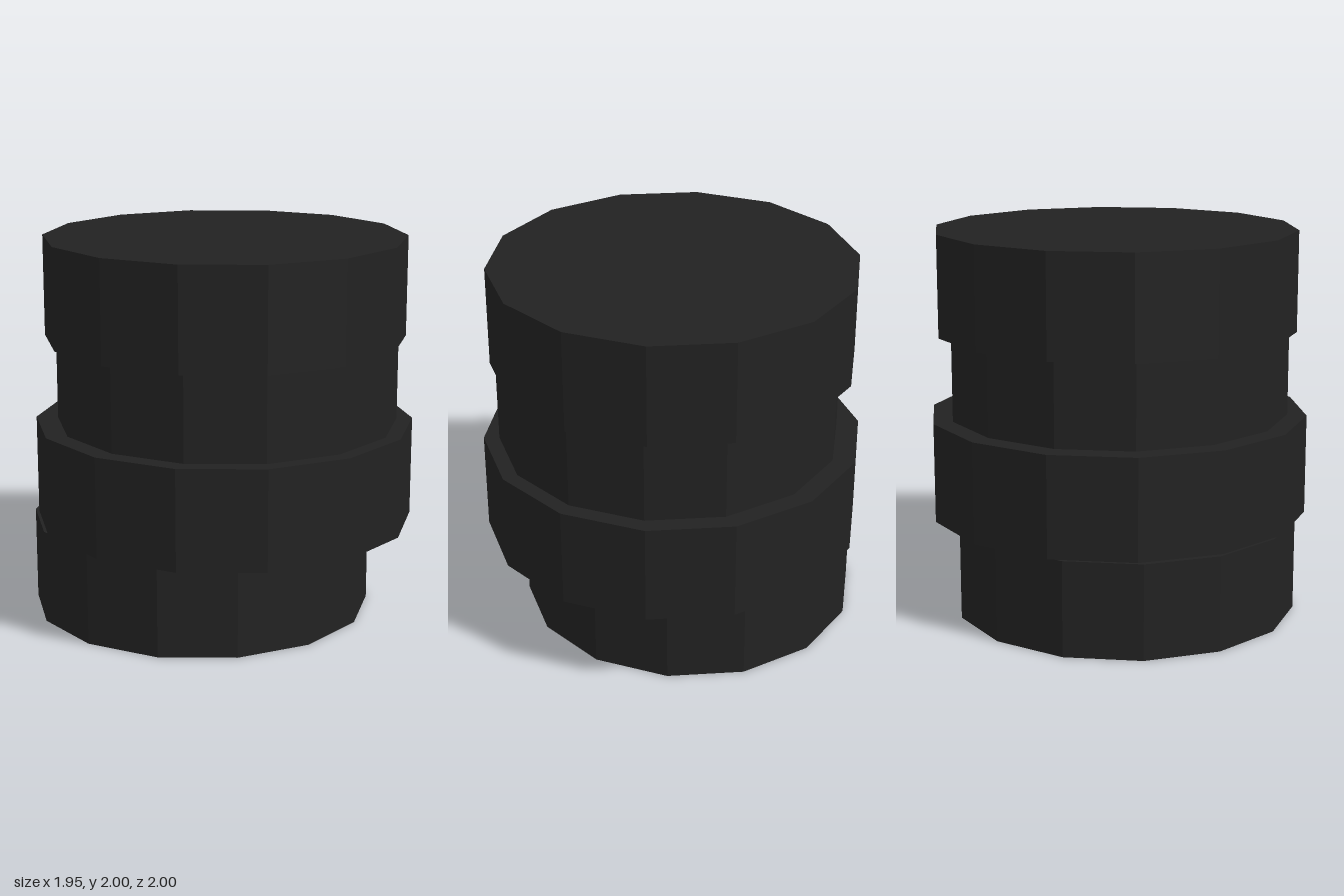
import * as THREE from 'three';

const SIDES = 14;

// Four offset faceted drums stacked on top of each other
const TIERS = [
  { name: 'bottomDrum', radius: 0.9, y0: 0, y1: 0.495, x: -0.077, z: -0.1 },
  { name: 'wideDrum', radius: 1.0, y0: 0.495, y1: 1.02, x: 0, z: 0 },
  { name: 'neckDrum', radius: 0.9, y0: 1.02, y1: 1.465, x: 0.006, z: 0.018 },
  { name: 'topDrum', radius: 0.95, y0: 1.465, y1: 1.995, x: 0.011, z: -0.005 },
];

export function createModel() {
  const model = new THREE.Group();
  model.name = 'stackedDrums';
  const material = new THREE.MeshStandardMaterial({ color: 0x222222, flatShading: true });

  for (const { name, radius, y0, y1, x, z } of TIERS) {
    const drum = new THREE.Mesh(new THREE.CylinderGeometry(radius, radius, y1 - y0, SIDES), material);
    drum.name = name;
    drum.position.set(x, (y0 + y1) / 2, z);
    model.add(drum);
  }
  return model;
}
